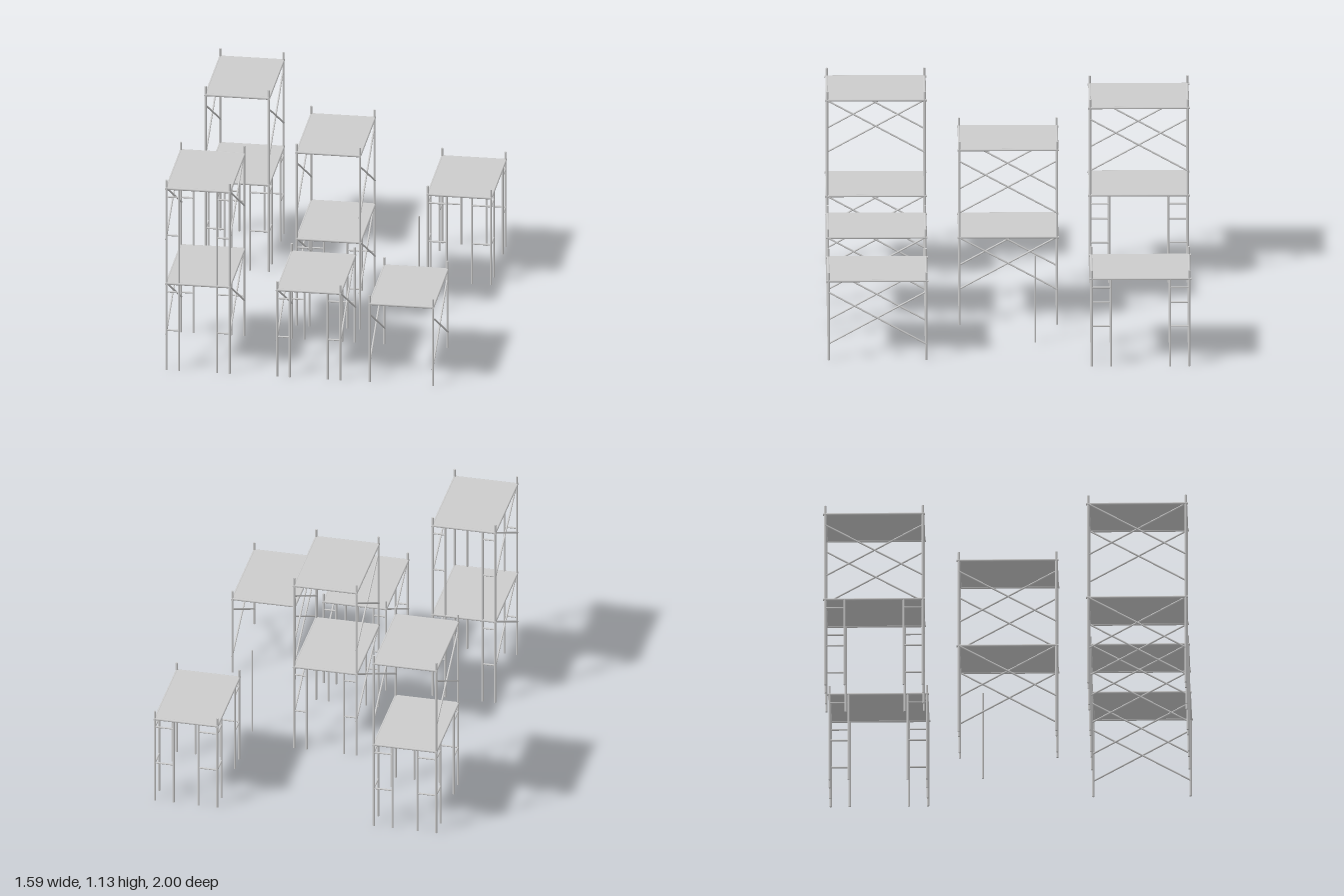
import * as THREE from 'three';

const HX = 0.175, HZ = 0.267; // half spacing of the corner posts
const PIN = 0.05;
const metal = new THREE.MeshStandardMaterial({ color: 0xcccccc });
const UP = new THREE.Vector3(0, 1, 0);

// Round tube between two points
function tube(parent, name, a, b, r) {
  const p = new THREE.Vector3(...a), q = new THREE.Vector3(...b);
  const d = q.clone().sub(p);
  const mesh = new THREE.Mesh(new THREE.CylinderGeometry(r, r, d.length(), 10), metal);
  mesh.position.copy(p).add(q).multiplyScalar(0.5);
  mesh.quaternion.setFromUnitVectors(UP, d.normalize());
  mesh.name = name;
  parent.add(mesh);
}

// Inner legs and two rungs beside each corner, along x or z
function ladders(parent, axis, inset, y0, y1) {
  for (const sx of [-1, 1]) for (const sz of [-1, 1]) {
    const x = sx * HX, z = sz * HZ;
    const ix = axis === 'x' ? x - sx * inset : x;
    const iz = axis === 'z' ? z - sz * inset : z;
    tube(parent, 'innerLeg', [ix, y0, iz], [ix, y1, iz], 0.006);
    for (const drop of [0.05, 0.278])
      tube(parent, 'rung', [x, y1 - drop, z], [ix, y1 - drop, iz], 0.005);
  }
}

// Crossed diagonals on both long sides
function crossBraces(parent, top) {
  for (const sx of [-1, 1]) for (const s of [-1, 1]) {
    const x = sx * HX + s * 0.003;
    tube(parent, 'crossBrace', [x, top, s * HZ], [x, top - 0.305, -s * HZ], 0.005);
  }
}

// Deck panel with its edge tubes
function deck(parent, y) {
  const panel = new THREE.Mesh(new THREE.BoxGeometry(HX * 2, 0.006, HZ * 2), metal);
  panel.position.y = y + 0.003;
  panel.name = 'deckPanel';
  parent.add(panel);
  for (const s of [-1, 1]) {
    tube(parent, 'endBeam', [-HX, y, s * HZ], [HX, y, s * HZ], 0.008);
    tube(parent, 'sideRail', [s * HX, y, -HZ - 0.012], [s * HX, y, HZ + 0.012], 0.007);
  }
}

// One storey: 'braced' (short ladders + braces), 'open' (braces only), 'legged' (ladders all round)
function storey(parent, kind, y0, y1) {
  const g = new THREE.Group();
  g.name = kind + 'Storey';
  for (const sx of [-1, 1]) for (const sz of [-1, 1])
    tube(g, 'cornerPost', [sx * HX, y0, sz * HZ], [sx * HX, y1 + PIN, sz * HZ], 0.0065);
  deck(g, y1);
  if (kind === 'braced') {
    ladders(g, 'x', 0.07, y0, y1);
    crossBraces(g, y1);
  } else if (kind === 'open') {
    crossBraces(g, y1 - 0.065);
  } else {
    ladders(g, 'x', 0.105, y0, y1);
    ladders(g, 'z', 0.105, y0, y1);
  }
  parent.add(g);
}

export function createModel() {
  const model = new THREE.Group();
  model.name = 'scaffoldTowers';

  // [name, x, z, storeys as [kind, bottom, deck height]]
  const towers = [
    ['backRightTower', -0.615, -0.72, [['legged', 0, 0.515], ['open', 0.515, 1.03]]],
    ['backLeftTower', 0.615, -0.72, [['legged', 0, 0.515]]],
    ['centreTower', -0.002, 0, [['braced', 0, 0.515], ['open', 0.515, 1.03]]],
    ['frontRightTower', -0.615, 0.72, [['braced', 0, 0.515], ['braced', 0.515, 1.08]]],
    ['frontMiddleTower', -0.002, 0.72, [['braced', 0, 0.515]]],
    ['frontLeftTower', 0.511, 0.72, [['open', 0, 0.465]]],
  ];
  for (const [name, x, z, storeys] of towers) {
    const tower = new THREE.Group();
    tower.name = name;
    tower.position.set(x, 0, z);
    for (const [kind, y0, y1] of storeys) storey(tower, kind, y0, y1);
    model.add(tower);
  }

  // Single free-standing pole
  tube(model, 'loosePole', [0.437, 0, -0.146], [0.437, 0.515, -0.146], 0.005);
  return model;
}
